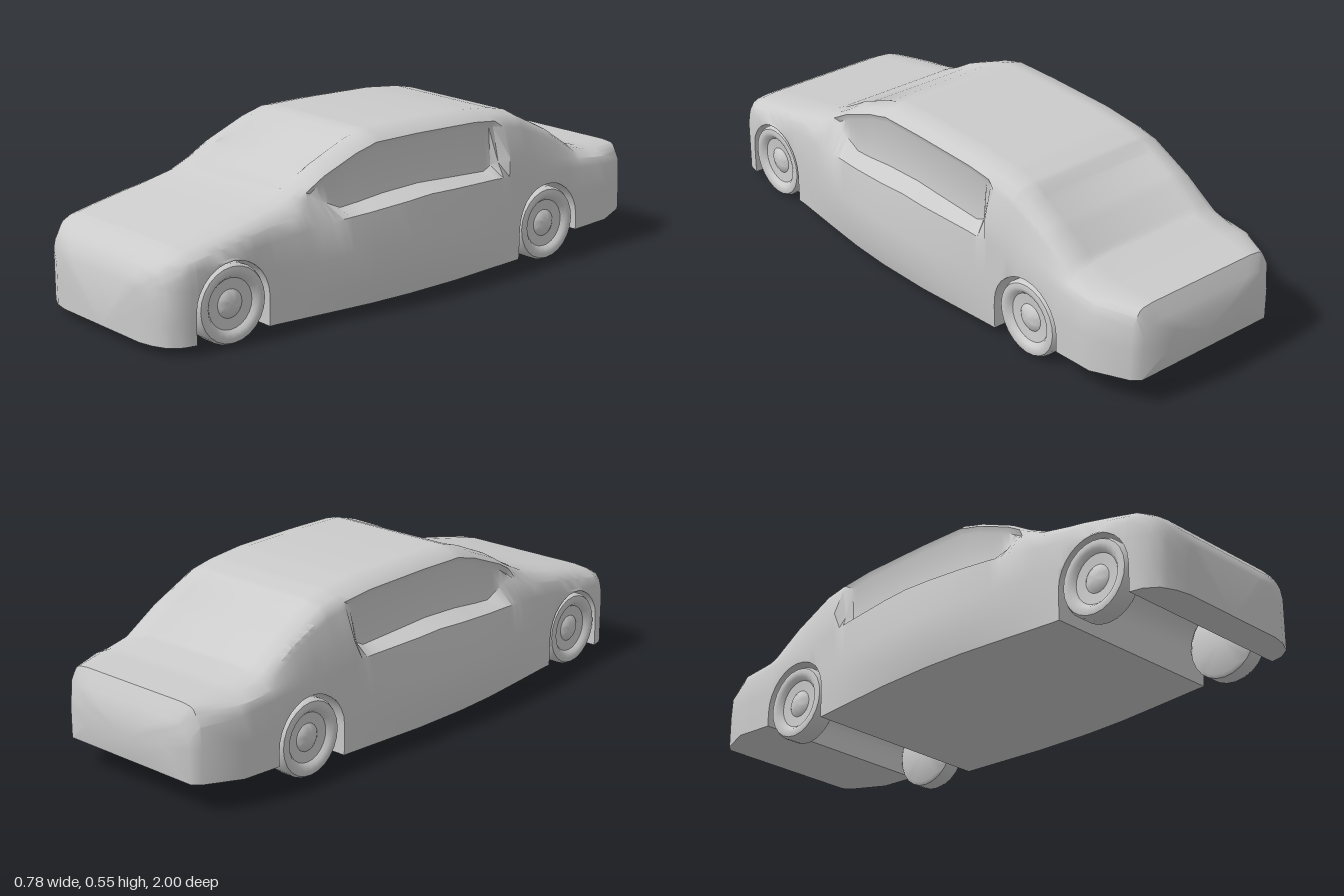
import * as THREE from 'three';
import { toCreasedNormals } from 'three/addons/utils/BufferGeometryUtils.js';

const material = new THREE.MeshStandardMaterial({ color: 0xcccccc });

// Body curves: [z, value] keys from tail to nose
const top = [[-1, 0.24], [-0.985, 0.28], [-0.96, 0.33], [-0.8, 0.337], [-0.72, 0.36], [-0.6, 0.44], [-0.45, 0.515],
  [-0.38, 0.53], [-0.25, 0.543], [0, 0.547], [0.17, 0.545], [0.25, 0.522], [0.38, 0.467], [0.45, 0.425], [0.53, 0.387],
  [0.65, 0.358], [0.8, 0.328], [0.9, 0.306], [0.95, 0.28], [0.98, 0.245], [1, 0.2]];
const width = [[-1, 0.17], [-0.985, 0.26], [-0.96, 0.285], [-0.84, 0.335], [-0.5, 0.335], [-0.4, 0.345], [-0.1, 0.383],
  [0.1, 0.391], [0.25, 0.384], [0.4, 0.365], [0.6, 0.337], [0.88, 0.335], [0.93, 0.325], [0.97, 0.295], [0.99, 0.25], [1, 0.2]];
const floor = [[-1, 0.17], [-0.985, 0.095], [-0.7, 0.08], [-0.69, 0.03], [1, 0.03]];
const beltY = [[-1, 0.2], [-0.96, 0.27], [-0.8, 0.285], [-0.5, 0.31], [-0.3, 0.325], [0, 0.335], [0.35, 0.315], [0.5, 0.3],
  [0.7, 0.275], [0.9, 0.25], [0.97, 0.21], [1, 0.15]];
const sillY = [[-1, 0.22], [-0.96, 0.3], [-0.7, 0.32], [-0.5, 0.37], [-0.38, 0.39], [-0.34, 0.37], [-0.29, 0.345], [0, 0.358],
  [0.15, 0.352], [0.32, 0.335], [0.43, 0.385], [0.5, 0.345], [0.7, 0.312], [0.9, 0.275], [0.97, 0.23], [1, 0.175]];
const sillInset = [[-1, 0.02], [-0.5, 0.01], [-0.37, 0.008], [-0.32, 0.055], [-0.1, 0.08], [0.1, 0.087], [0.35, 0.072],
  [0.43, 0.057], [0.5, 0.02], [0.7, 0.012], [1, 0.01]];
const eaveX = [[-1, 0.14], [-0.985, 0.225], [-0.96, 0.255], [-0.84, 0.3], [-0.6, 0.297], [0.5, 0.298], [0.7, 0.31],
  [0.93, 0.3], [0.97, 0.27], [0.99, 0.225], [1, 0.18]];
const eaveDrop = [[-1, 0.01], [-0.7, 0.02], [-0.4, 0.03], [0.2, 0.03], [0.5, 0.02], [1, 0.012]];
// Depth of the flat front and rear glass below the pillars
const glassDepth = [[-0.725, 0], [-0.7, 0.007], [-0.5, 0.007], [-0.46, 0], [0.2, 0], [0.25, 0.006], [0.38, 0.013],
  [0.48, 0.005], [0.5, 0]];
const arches = [{ z: 0.755, r: 0.133 }, { z: -0.5575, r: 0.1375 }];
const axleY = 0.127;

function sample(keys, z) {
  if (z <= keys[0][0]) return keys[0][1];
  for (let i = 1; i < keys.length; i++) {
    const [z0, v0] = keys[i - 1], [z1, v1] = keys[i];
    if (z <= z1) return v0 + (v1 - v0) * (z - z0) / (z1 - z0);
  }
  return keys[keys.length - 1][1];
}

// One closed cross-section, starting at the bottom centre and rising up the +x side
function section({ z, y: archY }) {
  const yb = archY ?? sample(floor, z);
  const w = sample(width, z), yt = sample(top, z);
  const eave = yt - sample(eaveDrop, z);
  const sill = Math.min(sample(sillY, z), eave - 0.008);
  const belt = Math.min(sample(beltY, z), sill - 0.008);
  const bulge = Math.max(0, w - 0.335);
  const ex = sample(eaveX, z), sx = w - sample(sillInset, z);
  const windowTop = Math.max(sill + 0.004, eave - 0.02);
  const inWindow = z > -0.35 && z < 0.44;
  const wx = inWindow ? ex - 0.008 : THREE.MathUtils.lerp(sx, ex, (windowTop - sill) / (eave - sill));
  const tx = Math.min(0.225, ex * 0.8), glass = sample(glassDepth, z);
  const half = [
    [w - bulge * 0.3, yb],
    [w, Math.max(yb + 0.002, 0.1)],
    [w, Math.max(yb + 0.004, Math.min(0.2, belt - 0.01))],
    [w - 0.004 - bulge * 0.3, Math.max(belt, yb + 0.006)],
    [sx, sill],
    [wx, windowTop],
    [ex, eave],
    [(ex + tx) / 2 + 0.012, yt - (yt - eave) * 0.38],
    [tx, yt],
    [tx * 0.92, yt - glass],
  ];
  return [[0, yb], ...half, [0, yt - glass], ...half.map(([x, y]) => [-x, y]).reverse()]
    .map(([x, y]) => [x, y, z]);
}

// Stations along the car; each wheel tunnel adds a wall and a half-round roof
function stations() {
  const zs = new Set();
  for (const keys of [top, width, floor, beltY, sillY, sillInset, eaveX, glassDepth]) keys.forEach(k => zs.add(k[0]));
  const list = [];
  for (const z of zs) {
    const arch = arches.find(a => Math.abs(z - a.z) < a.r);
    if (!arch) list.push({ z });
    else list.push({ z, y: axleY + Math.sqrt(arch.r ** 2 - (z - arch.z) ** 2) });
  }
  list.sort((a, b) => a.z - b.z);
  for (const { z, r } of arches) {
    const roof = [];
    for (let i = 0; i <= 14; i++) {
      const a = Math.PI * (1 - i / 14);
      roof.push({ z: z + r * Math.cos(a), y: axleY + r * Math.sin(a) });
    }
    const rearFloor = z < 0 ? 0.08 : 0.03;
    list.push({ z: z - r, y: rearFloor, order: -1 }, ...roof, { z: z + r, y: 0.03, order: 1 });
  }
  return list.sort((a, b) => Math.abs(a.z - b.z) > 1e-7 ? a.z - b.z : (a.order ?? 0) - (b.order ?? 0));
}

function bodyGeometry() {
  const rings = stations().map(section);
  const n = rings[0].length, pos = [];
  const tri = (a, b, c) => pos.push(...a, ...b, ...c);
  for (let i = 0; i < rings.length - 1; i++) {
    for (let j = 0; j < n; j++) {
      const k = (j + 1) % n;
      const a = rings[i][j], b = rings[i][k], c = rings[i + 1][k], d = rings[i + 1][j];
      tri(a, b, c);
      tri(a, c, d);
    }
  }
  // Nose and tail caps
  const nose = rings[rings.length - 1], tail = rings[0];
  for (let j = 1; j < n - 1; j++) {
    tri(nose[0], nose[j], nose[j + 1]);
    tri(tail[0], tail[j + 1], tail[j]);
  }
  const geometry = new THREE.BufferGeometry();
  geometry.setAttribute('position', new THREE.Float32BufferAttribute(pos, 3));
  return toCreasedNormals(geometry, 0.7);
}

// Tyre, dished rim and hub bump turned as one profile (radius, distance outwards)
function wheelGeometry() {
  const profile = [[0, 0], [0.115, 0], [0.125, 0.008], [0.125, 0.06], [0.118, 0.072], [0.104, 0.075], [0.09, 0.07],
    [0.08, 0.058], [0.045, 0.055], [0.036, 0.062], [0.02, 0.068], [0, 0.07]];
  const geometry = new THREE.LatheGeometry(profile.map(p => new THREE.Vector2(...p)), 24);
  return toCreasedNormals(geometry.rotateZ(-Math.PI / 2), 0.7);
}

export function createModel() {
  const car = new THREE.Group();
  car.name = 'car';
  const body = new THREE.Mesh(bodyGeometry(), material);
  body.name = 'body';
  car.add(body);

  const geometry = wheelGeometry();
  for (const { z } of arches) {
    for (const side of [1, -1]) {
      const wheel = new THREE.Mesh(geometry, material);
      wheel.name = `${z > 0 ? 'front' : 'rear'}${side > 0 ? 'Left' : 'Right'}Wheel`;
      wheel.position.set(side * 0.26, 0.125, z);
      if (side < 0) wheel.rotation.y = Math.PI;
      car.add(wheel);
    }
  }
  return car;
}
